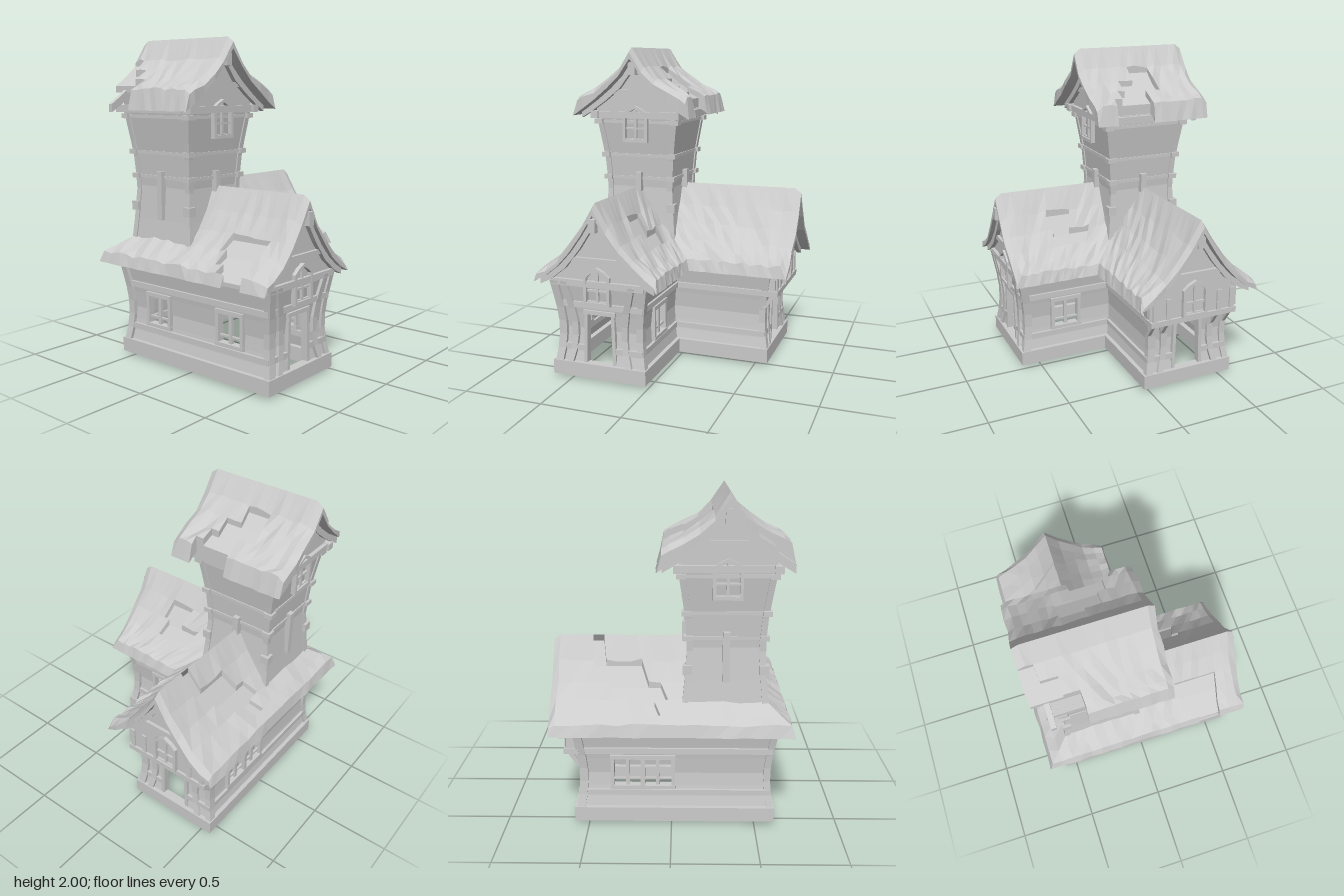
import * as THREE from 'three';

const mat = new THREE.MeshStandardMaterial({ color: 0xcccccc, flatShading: true });
const sheetMat = new THREE.MeshStandardMaterial({ color: 0xcccccc, flatShading: true, side: THREE.DoubleSide });

const CX = -0.315, CZ = -0.27; // ridge lines, also the tower centre

function interp(table, t) {
  for (let i = 1; i < table.length; i++) {
    const [a, u] = table[i - 1], [b, v] = table[i];
    if (t <= b) return u + (v - u) * Math.max(0, (t - a) / (b - a));
  }
  return table[table.length - 1][1];
}
const hash = (i, j, s) => { const v = Math.sin(i * 12.99 + j * 78.23 + s * 37.7) * 43758.55; return v - Math.floor(v) - 0.5; };

function add(parent, name, geo, x = 0, y = 0, z = 0, m = mat) {
  const mesh = new THREE.Mesh(geo, m);
  mesh.name = name;
  mesh.position.set(x, y, z);
  parent.add(mesh);
  return mesh;
}
const box = (parent, name, w, h, d, x, y, z) => add(parent, name, new THREE.BoxGeometry(w, h, d), x, y, z);
function frame(parent, name, x, z, angle) {
  const g = new THREE.Group();
  g.name = name;
  g.position.set(x, 0, z);
  g.rotation.y = angle;
  parent.add(g);
  return g;
}
function quads(list) {
  const pos = [];
  for (const [a, b, c, d] of list) pos.push(...a, ...b, ...c, ...a, ...c, ...d);
  const g = new THREE.BufferGeometry();
  g.setAttribute('position', new THREE.Float32BufferAttribute(pos, 3));
  g.computeVertexNormals();
  return g;
}
function bend(geo, rule) {
  const p = geo.attributes.position, v = new THREE.Vector3();
  for (let i = 0; i < p.count; i++) { rule(v.fromBufferAttribute(p, i)); p.setXYZ(i, v.x, v.y, v.z); }
  geo.computeVertexNormals();
  return geo;
}
const poly = (pts) => new THREE.Shape(pts.map(([x, y]) => new THREE.Vector2(x, y)));
const extrude = (shape, depth) => new THREE.ExtrudeGeometry(shape, { depth, bevelEnabled: false });

// Bowed outline of the house and tower walls
const flare = (y) => interp([[0.1, 0], [0.2, -0.017], [0.32, -0.025], [0.46, -0.01], [0.62, 0.018]], y);
const towerHalf = (y) => interp([[0.6, 0.26], [0.9, 0.232], [1.1, 0.218], [1.3, 0.232], [1.45, 0.254], [1.6, 0.276]], y);

// One house wall; local +z points outward, e says which ends are outer corners
function wall(root, name, x, z, angle, w, e, openings) {
  const g = frame(root, name, x, z, angle);
  const us = [-w, w], ys = [0.1, 0.17, 0.24, 0.32, 0.42, 0.5, 0.62];
  openings.forEach((o) => us.push(o.u - 0.085, o.u + 0.085));
  us.sort((a, b) => a - b);
  const P = (u, y) => [u === -w ? u - e[0] * flare(y) : u === w ? u + e[1] * flare(y) : u, y, flare(y)];
  const cells = [];
  for (let i = 0; i < us.length - 1; i++) for (let j = 0; j < ys.length - 1; j++) {
    const um = (us[i] + us[i + 1]) / 2, ym = (ys[j] + ys[j + 1]) / 2;
    if (openings.some((o) => Math.abs(um - o.u) < 0.085 && ym < 0.42 && (o.door || ym > 0.24))) continue;
    cells.push([P(us[i], ys[j]), P(us[i + 1], ys[j]), P(us[i + 1], ys[j + 1]), P(us[i], ys[j + 1])]);
  }
  add(g, 'wallPanel', quads(cells), 0, 0, 0, sheetMat);

  // Horizontal beams, the low one stopping at doors
  const beam = (y, h, a, b) => box(g, 'wallBeam', b - a, h, 0.035, (a + b) / 2, y, flare(y));
  const door = openings.find((o) => o.door);
  if (door) { beam(0.2, 0.035, -w, door.u - 0.1); beam(0.2, 0.035, door.u + 0.1, w); } else beam(0.2, 0.035, -w, w);
  beam(0.475, 0.035, -w - 0.005, w + 0.005);
  beam(0.615, 0.04, -w - 0.02, w + 0.02);

  // Bowed corner post
  const post = (px, width) => add(g, 'post', bend(new THREE.BoxGeometry(width, 0.52, 0.04, 1, 6, 1), (v) => {
    v.y += 0.36; v.x += px + Math.sign(px) * flare(v.y) * (width > 0.045 ? 1 : 1.5); v.z += flare(v.y);
  }));
  if (e[0] > 0) post(-w + 0.012, 0.05);
  if (door) [-1, 1].forEach((s) => post(s * 0.195, 0.04));

  // Frames around the openings
  for (const o of openings) {
    const y0 = o.door ? 0.1 : 0.24, h = 0.42 - y0, zf = flare(0.32) + 0.004;
    for (const s of [-1, 1]) {
      const jamb = box(g, 'jamb', 0.022, h + 0.02, 0.045, o.u + s * 0.092, y0 + h / 2, zf);
      if (o.door) jamb.rotation.z = s * 0.03;
    }
    box(g, 'lintel', 0.21, 0.025, 0.05, o.u, 0.43, zf);
    if (o.door) continue;
    box(g, 'sill', 0.21, 0.022, 0.05, o.u, 0.235, zf);
    box(g, 'mullion', 0.022, h, 0.02, o.u, 0.33, zf);
    box(g, 'glazingBar', 0.17, 0.012, 0.015, o.u, 0.285, zf);
  }
  return g;
}

// Roof half-profiles: distance from ridge, height above the eave
const wingTop = [[0, 0.5], [0.08, 0.365], [0.16, 0.255], [0.24, 0.17], [0.32, 0.11], [0.38, 0.07], [0.4, 0]];
const wingBot = [[0, 0.43], [0.1, 0.27], [0.2, 0.14], [0.3, 0.055], [0.4, 0]];
const towerTop = [[0, 0.43], [0.08, 0.305], [0.16, 0.235], [0.25, 0.18], [0.33, 0.145], [0.37, 0.125], [0.4, 0]];
const towerBot = [[0, 0.36], [0.1, 0.225], [0.2, 0.14], [0.3, 0.065], [0.4, 0]];

// Gable end with barge boards, tie beam, ridge beam and a pointed attic window
function gable(g, base, bottom, half, z, winY, floorY) {
  const under = (d) => base + interp(bottom, d) + 0.015;
  const ds = [half, 0.2, 0.1, 0];
  const edge = [...ds.map((d) => [d, under(d)]), ...ds.slice(0, 3).reverse().map((d) => [-d, under(d)])];
  add(g, 'gableWall', new THREE.ShapeGeometry(poly([[-half, floorY], [half, floorY], ...edge])), 0, 0, z, sheetMat);
  const reach = [0.37, 0.3, 0.2, 0.1, 0];
  for (const s of [-1, 1]) {
    const top = reach.map((d) => [s * d, under(d)]), low = reach.map((d) => [s * d, under(d) - 0.05 - (0.37 - d) * 0.06]).reverse();
    add(g, 'bargeBoard', extrude(poly([...top, ...low]), 0.03), 0, 0, z, sheetMat);
  }
  box(g, 'tieBeam', 0.36, 0.03, 0.03, 0, base + 0.15, z + 0.005);
  box(g, 'ridgeBeam', 0.045, 0.08, 0.12, 0, base + interp(bottom, 0) - 0.06, z + 0.01);
  const outline = (k) => [[-0.085 * k, 0], [0.085 * k, 0], [0.085 * k, 0.18], [0.05 * k, 0.21], [0, 0.235], [-0.05 * k, 0.21], [-0.085 * k, 0.18]];
  const shape = poly(outline(1));
  shape.holes.push(poly(outline(0.78).map(([x, y]) => [x, 0.02 + y * 0.83])));
  add(g, 'atticWindowFrame', extrude(shape, 0.03), 0, winY, z - 0.005);
  box(g, 'atticMullion', 0.016, 0.2, 0.015, 0, winY + 0.12, z + 0.005);
  [0.02, 0.09].forEach((y) => box(g, 'atticBar', 0.14, 0.012, 0.015, 0, winY + y, z + 0.005));
}

// One roof half with a chipped shingle layer. level(a, d): 2 whole, 1 worn, -1 broken off
function slope(root, name, { map, base, top, bot, a0, a1, k, seed, level, n = 16 }) {
  const ds = top.map((p) => p[0]), m = ds.length - 1;
  const along = (i, d) => {
    const s = a0 + k * d, first = k ? s : s + 0.04;
    if (i === n) return a1;
    return i === 0 ? s : first + (a1 - 0.04 - first) * (k ? i / (n - 1) : (i - 1) / (n - 2));
  };
  const P = (i, j, layer) => {
    const d = ds[j], low = interp(bot, d), free = (i > 0 || !k) && j > 0;
    const bevel = i === n || (i === 0 && !k) ? 0.03 : 0;
    let h = low;
    if (layer === 2) h = top[j][1] - bevel + (free && j < m ? hash(i, j, seed) * 0.022 : 0);
    if (layer === 1) h = top[j][1] - 0.038;
    const wob = free ? hash(i, j, seed + 5) * 0.012 : 0;
    return map(along(i, d) + wob, d + (j === m ? hash(i, 9, seed) * 0.01 : 0), base + Math.max(h, low));
  };
  const L = (i, j) => {
    if (i < 0 || j < 0 || i >= n || j >= m) return -1;
    const d = (ds[j] + ds[j + 1]) / 2;
    return level((along(i, d) + along(i + 1, d)) / 2, d);
  };
  const list = [];
  for (let i = 0; i < n; i++) for (let j = 0; j < m; j++) {
    const l = L(i, j);
    if (l < 0) continue;
    const c = [[i, j], [i + 1, j], [i + 1, j + 1], [i, j + 1]];
    for (const y of [l, 0]) list.push(c.map(([p, q]) => P(p, q, y)));
    [[0, -1], [1, 0], [0, 1], [-1, 0]].forEach(([di, dj], s) => {
      const o = L(i + di, j + dj), p = c[s], q = c[(s + 1) % 4];
      if (o < l && j + dj >= 0) list.push([P(...p, l), P(...q, l), P(...q, Math.max(o, 0)), P(...p, Math.max(o, 0))]);
    });
  }
  add(root, name, quads(list), 0, 0, 0, sheetMat);
}

export function createModel() {
  const root = new THREE.Group();
  root.name = 'house';

  // L-shaped plinth ring and ceiling
  const plan = (o) => [[-0.595 - o, 0.55 + o], [-0.595 - o, -0.6 - o], [-0.035 + o, -0.6 - o], [-0.035 + o, -0.01 - o], [0.56 + o, -0.01 - o], [0.56 + o, 0.55 + o]];
  const ring = poly(plan(0.025));
  ring.holes.push(poly(plan(-0.035)));
  add(root, 'plinth', extrude(ring, 0.09).rotateX(-Math.PI / 2), 0, 0.02, 0);
  add(root, 'ceiling', new THREE.ShapeGeometry(poly(plan(0))).rotateX(-Math.PI / 2), 0, 0.61, 0, sheetMat);
  box(root, 'doorStep', 0.04, 0.02, 0.3, 0.53, 0.01, -0.35);

  // House walls
  const H = Math.PI / 2;
  const front = wall(root, 'frontWall', CX, 0.6, 0, 0.28, [1, 1], [{ u: 0, door: true }]);
  const side = wall(root, 'sideGableWall', 0.56, CZ, H, 0.28, [1, 1], [{ u: 0, door: true }]);
  wall(root, 'backWall', -0.0175, -0.55, 2 * H, 0.5775, [1, 1], [{ u: -0.1, door: false }, { u: -0.28, door: false }]);
  wall(root, 'outerSideWall', -0.595, 0.025, -H, 0.575, [1, 1], [{ u: -0.295 }, { u: 0.285 }]);
  wall(root, 'innerSideWall', -0.035, 0.305, H, 0.295, [1, -1], [{ u: 0 }]);
  wall(root, 'innerFrontWall', 0.2625, 0.01, 0, 0.2975, [-1, 1], []);

  // Gables; the side one juts out on brackets
  gable(front, 0.61, wingBot, 0.3, 0.012, 0.485, 0.6);
  gable(side, 0.61, wingBot, 0.3, 0.065, 0.485, 0.5);
  box(side, 'jetty', 0.57, 0.14, 0.07, 0, 0.555, 0.03);
  box(side, 'jettyBeam', 0.59, 0.035, 0.09, 0, 0.475, 0.035);
  for (const u of [-0.265, -0.175, 0.175, 0.265]) {
    box(side, 'bracket', 0.022, 0.12, 0.025, u, 0.42, 0.02).rotation.x = 0.6;
    box(side, 'jettyPost', 0.03, 0.14, 0.02, u, 0.555, 0.065);
  }

  // Wing roofs, mitred at the valley and the hip
  const wing = { base: 0.61, top: wingTop, bot: wingBot };
  const whole = () => 2;
  slope(root, 'sideWingRoofFront', { ...wing, map: (a, d, h) => [a, h, CZ + d], a0: CX, a1: 0.715, k: 1, seed: 1, level: whole });
  slope(root, 'sideWingRoofBack', { ...wing, map: (a, d, h) => [a, h, CZ - d], a0: CX, a1: 0.715, k: -1, seed: 2,
    level: (a, d) => (a > 0.06 && a < 0.46 && d < 0.32 && d > 0.03 && Math.abs(d - 0.25 + (a - 0.06) * 0.45) < 0.07 ? 1 : 2) });
  slope(root, 'frontWingRoofOuter', { ...wing, map: (a, d, h) => [CX - d, h, a], a0: CZ, a1: 0.67, k: -1, seed: 3, n: 20,
    level: (a, d) => (a > 0.36 && a < 0.48 && d > 0.36 ? -1 : a < 0.52 && a > 0.18 + (d - 0.16) * 0.8 && d > 0.16 ? 1 : 2) });
  slope(root, 'frontWingRoofInner', { ...wing, map: (a, d, h) => [CX + d, h, a], a0: CZ, a1: 0.67, k: 1, seed: 4,
    level: (a, d) => (d > 0.08 && d < 0.24 && a < 0.35 && a > (d > 0.16 ? 0.12 : 0.2) ? 1 : 2) });

  // Tower body, flared towards the top
  const tower = frame(root, 'tower', CX, CZ, 0);
  add(tower, 'towerWalls', bend(new THREE.BoxGeometry(2, 1, 2, 1, 10, 1), (v) => {
    v.y += 1.1; v.x *= towerHalf(v.y); v.z *= towerHalf(v.y);
  }));
  for (const y of [0.97, 1.16, 1.31, 1.53]) {
    const w = towerHalf(y), big = y < 1;
    if (!big) box(tower, 'towerBand', 2 * w + 0.016, 0.02, 2 * w + 0.016, 0, y, 0);
    for (const sx of [-1, 1]) for (const sz of [-1, 1])
      box(tower, 'cornerClasp', 0.055, big ? 0.055 : 0.03, 0.055, sx * (w - 0.003), y, sz * (w - 0.003));
  }
  for (const sx of [-1, 1]) {
    for (const sz of [-1, 1])
      add(tower, 'towerCornerPost', bend(new THREE.BoxGeometry(0.036, 0.9, 0.036, 1, 9, 1), (v) => {
        v.y += 1.13; v.x += sx * (towerHalf(v.y) - 0.01); v.z += sz * (towerHalf(v.y) - 0.01);
      }));
    box(tower, 'eaveBeam', 0.05, 0.045, 0.64, sx * 0.28, 1.575, 0);
  }
  for (let i = 0; i < 4; i++) {
    const face = frame(tower, 'towerFace', 0, 0, i * H);
    box(face, 'ridgePost', 0.04, 0.3, 0.04, 0, 1.05, 0.235);
    if (i % 2) continue;
    gable(face, 1.57, towerBot, 0.275, 0.28, 1.4, 1.55);
    box(face, 'plateBeam', 0.6, 0.04, 0.04, 0, 1.575, 0.285);
  }

  // Tower roof with broken eaves
  const cap = { base: 1.57, top: towerTop, bot: towerBot, a0: -0.655, a1: 0.11, k: 0 };
  slope(root, 'towerRoofOuter', { ...cap, map: (a, d, h) => [CX - d, h, a], seed: 6,
    level: (a, d) => (a < -0.36 && d > 0.25 ? -1 : a < -0.45 && d > 0.16 ? 1 : a < -0.55 && d > 0.08 ? 1 : 2) });
  slope(root, 'towerRoofInner', { ...cap, map: (a, d, h) => [CX + d, h, a], seed: 7,
    level: (a, d) => (a > -0.27 && a < -0.04 && d > 0.33 ? -1 : a > -0.35 && a < -0.04 - (0.33 - d) * 0.5 && d > 0.08 && (d > 0.16 || a < -0.2) && (a > -0.27 || d < 0.25) ? 1 : 2) });
  return root;
}
